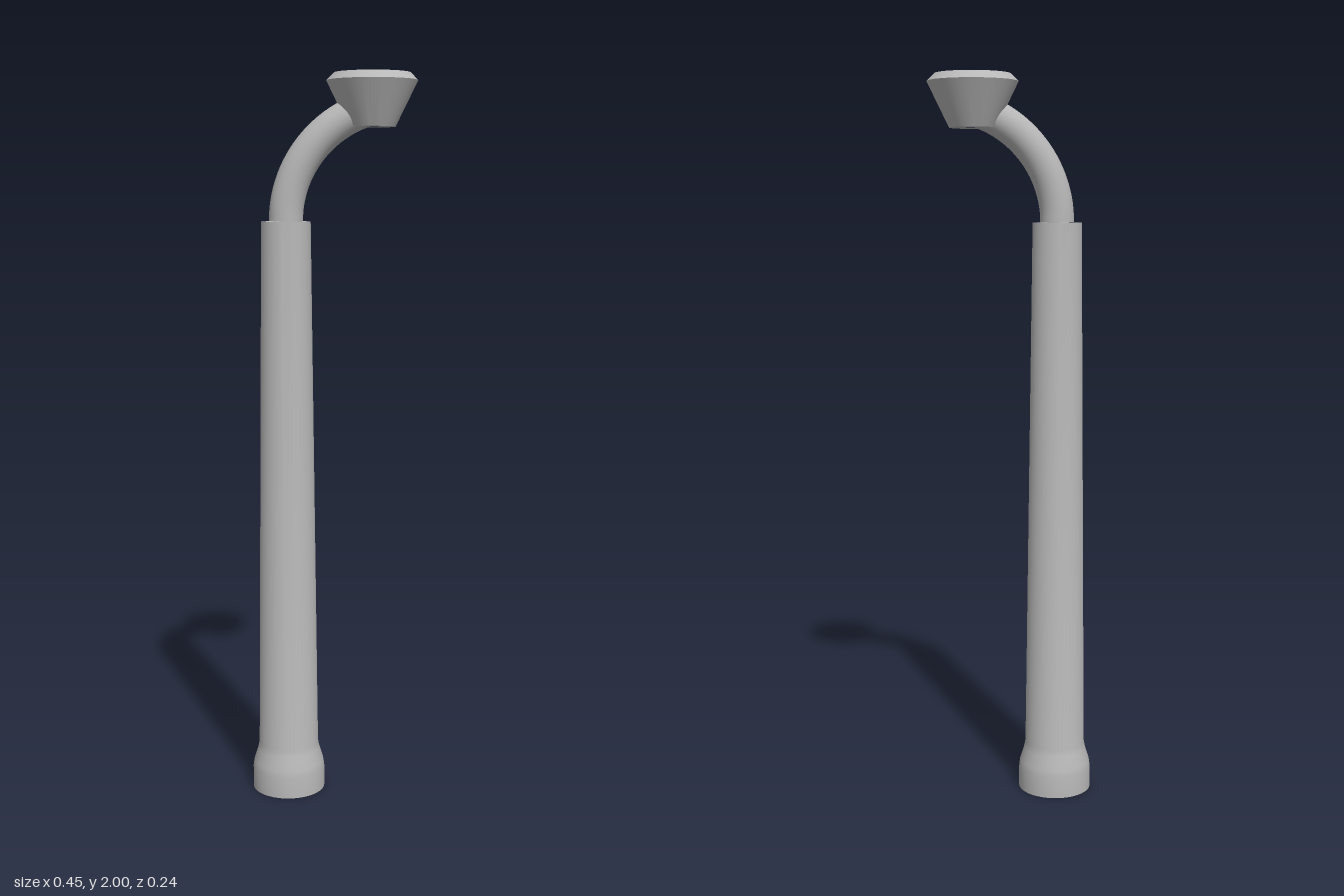
import * as THREE from 'three';
import { toCreasedNormals } from 'three/addons/utils/BufferGeometryUtils.js';

const POLE_X = -0.126, HEAD_X = 0.105;

export function createModel() {
  const group = new THREE.Group();
  const metal = new THREE.MeshStandardMaterial({ color: 0xb8b8b8 });
  metal.name = 'grey metal';

  // Turned part: smooth around, sharp at strong profile corners
  const turned = (name, x, profile) => {
    const points = profile.map(([r, y]) => new THREE.Vector2(r, y));
    const geometry = toCreasedNormals(new THREE.LatheGeometry(points, 48), Math.PI / 6);
    const mesh = new THREE.Mesh(geometry, metal);
    mesh.name = name;
    mesh.position.x = x;
    group.add(mesh);
  };

  // Tapered pole with a flared foot and a small cable hole underneath
  turned('pole', POLE_X, [
    [0.018, 0], [0.102, 0], [0.102, 0.06], [0.099, 0.08], [0.088, 0.115],
    [0.084, 0.135], [0.067, 1.61], [0, 1.61],
  ]);

  // Conical lamp head with a bevelled rim and a small hole underneath
  turned('lampHead', HEAD_X, [
    [0.018, 1.86], [0.063, 1.86], [0.122, 1.98], [0.102, 2], [0, 2],
  ]);

  // Curved arm: a circular arc leaving the pole vertically
  const R = 0.31, sweep = THREE.MathUtils.degToRad(72);
  const arc = [];
  for (let i = 0; i <= 12; i++) {
    const a = (sweep * i) / 12;
    arc.push(new THREE.Vector3(POLE_X + R - R * Math.cos(a), 1.61 + R * Math.sin(a), 0));
  }
  const arm = new THREE.Mesh(
    new THREE.TubeGeometry(new THREE.CatmullRomCurve3(arc), 24, 0.046, 32), metal);
  arm.name = 'curvedArm';
  group.add(arm);

  return group;
}
